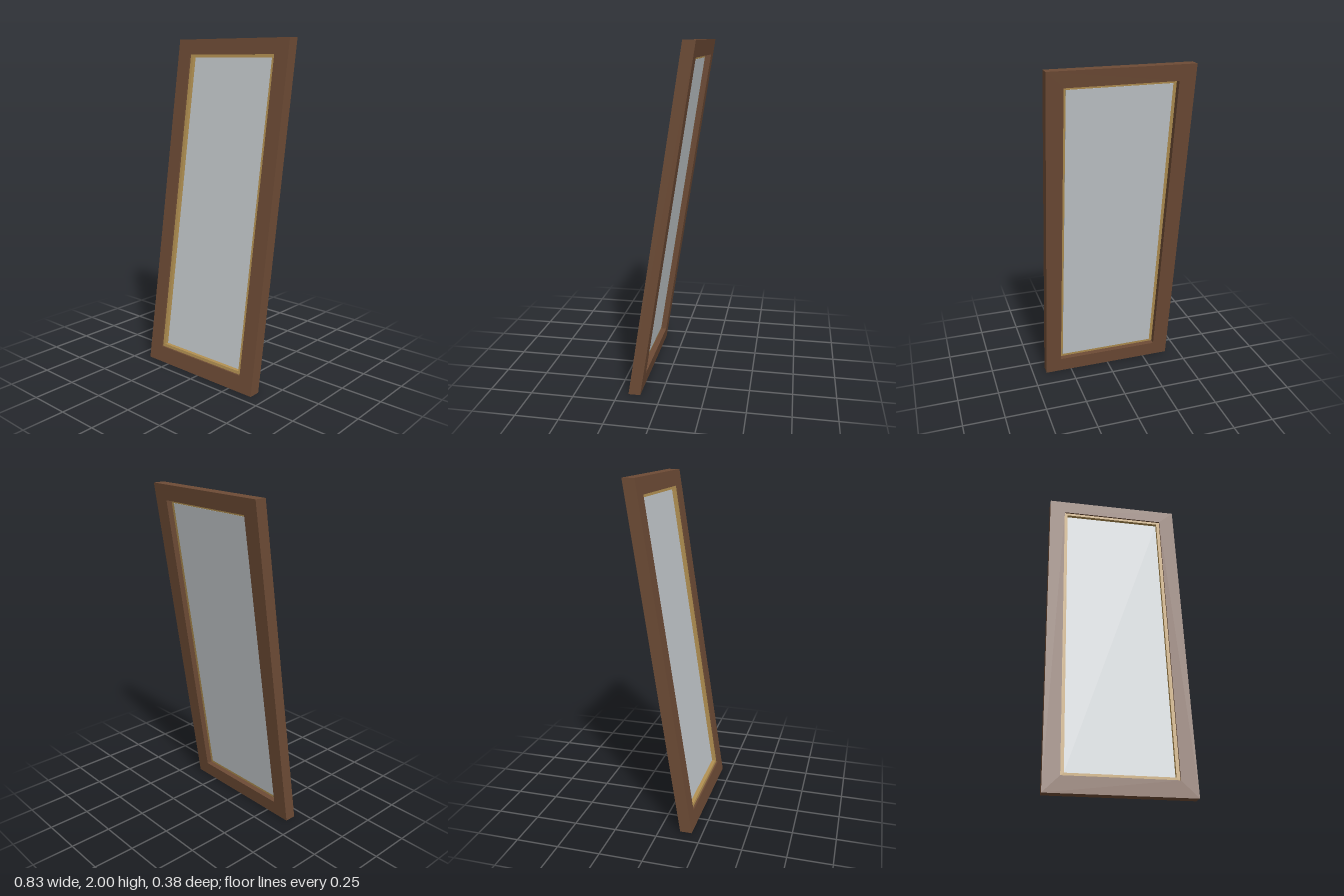
import * as THREE from 'three';

const wood = new THREE.MeshStandardMaterial({ color: 0x6d4b35 });
wood.name = 'brown wood';
const gold = new THREE.MeshStandardMaterial({ color: 0xb39152 });
gold.name = 'dull gold';
const glass = new THREE.MeshStandardMaterial({ color: 0xc3c8cb });
glass.name = 'silver glass';

const CENTRE_Y = 1.0025; // middle of the opening
const LEAN = -0.155; // z shift per unit of height

// Rectangle centred on x, from y0 to y1
function rectangle(Type, halfWidth, y0, y1) {
  const path = new Type();
  path.moveTo(-halfWidth, y0);
  path.lineTo(halfWidth, y0);
  path.lineTo(halfWidth, y1);
  path.lineTo(-halfWidth, y1);
  path.closePath();
  return path;
}

// Extrudes from back to front, then slants the part backwards with level ends
function slantedPart(name, shape, back, front, material) {
  const geometry = new THREE.ExtrudeGeometry(shape, { depth: front - back, bevelEnabled: false });
  geometry.translate(0, 0, back);
  const p = geometry.attributes.position;
  for (let i = 0; i < p.count; i++) p.setZ(i, p.getZ(i) + LEAN * (p.getY(i) - 1));
  geometry.computeVertexNormals();
  const mesh = new THREE.Mesh(geometry, material);
  mesh.name = name;
  return mesh;
}

export function createModel() {
  const model = new THREE.Group();
  model.name = 'leaningMirror';
  const opening = [0.32, CENTRE_Y - 0.907, CENTRE_Y + 0.907];
  const inner = [0.3, CENTRE_Y - 0.89, CENTRE_Y + 0.89];

  // Wide wooden frame
  const frame = rectangle(THREE.Shape, 0.415, 0, 2);
  frame.holes.push(rectangle(THREE.Path, ...opening));
  model.add(slantedPart('frame', frame, -0.035, 0.035, wood));

  // Narrow trim, set back inside the opening
  const trim = rectangle(THREE.Shape, ...opening);
  trim.holes.push(rectangle(THREE.Path, ...inner));
  model.add(slantedPart('innerTrim', trim, 0, 0.025, gold));

  // Mirror pane at the back of the trim
  model.add(slantedPart('mirrorPane', rectangle(THREE.Shape, ...inner), -0.002, 0.003, glass));
  return model;
}
